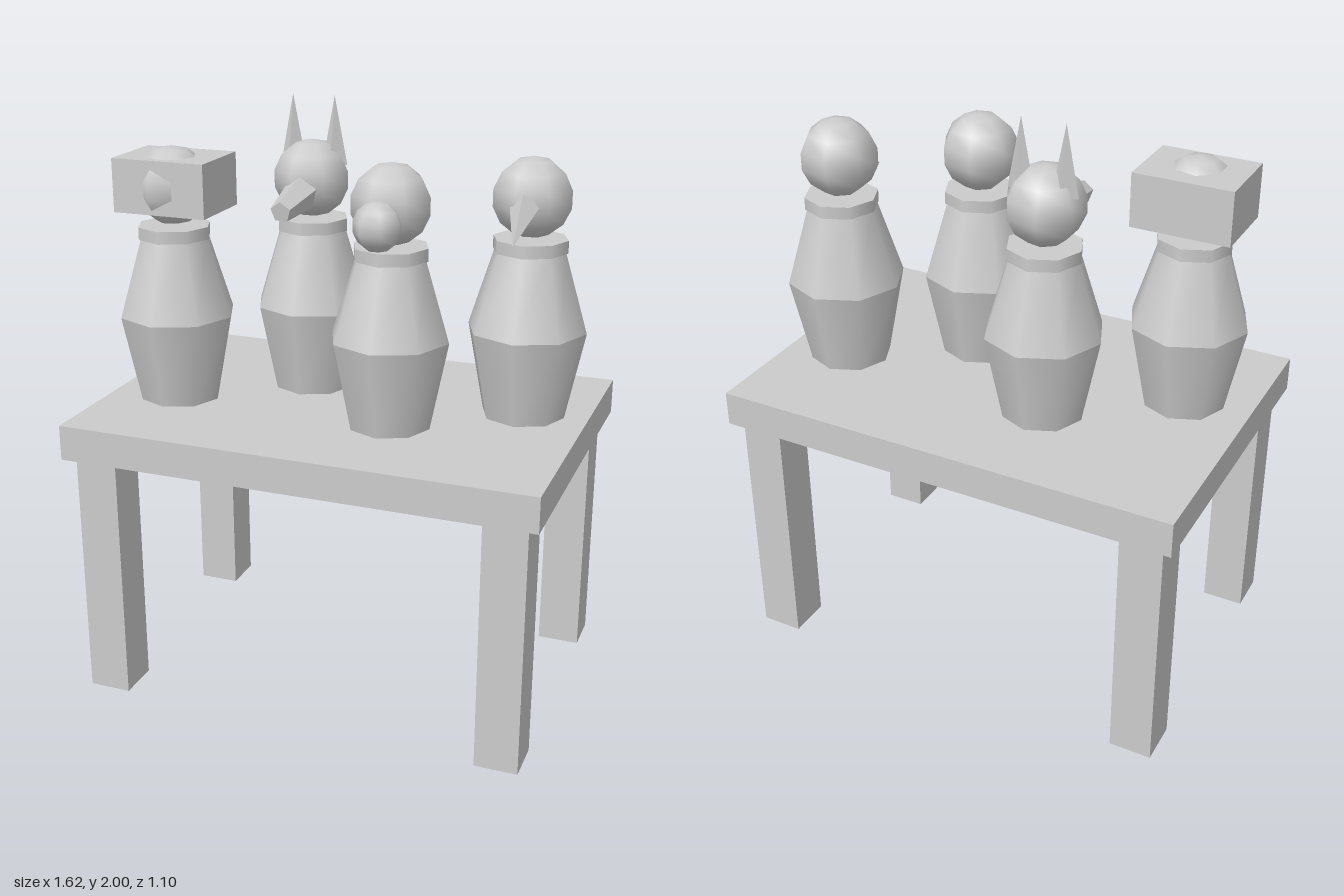
import * as THREE from 'three';

const material = new THREE.MeshStandardMaterial({ color: 0xcccccc });
const facetedMaterial = new THREE.MeshStandardMaterial({ color: 0xcccccc, flatShading: true });

function part(parent, name, geometry, x, y, z, mat = material) {
  const mesh = new THREE.Mesh(geometry, mat);
  mesh.name = name;
  mesh.position.set(x, y, z);
  parent.add(mesh);
  return mesh;
}

// Tapered prism running between two points in the y-z plane, given as [y, z]
function taper(parent, name, from, to, rFrom, rTo, sides) {
  const a = new THREE.Vector3(0, from[0], from[1]);
  const b = new THREE.Vector3(0, to[0], to[1]);
  const dir = b.clone().sub(a);
  const geometry = new THREE.CylinderGeometry(rTo, rFrom, dir.length(), sides);
  geometry.rotateY(Math.PI); // puts a corner on the upper side
  const mid = a.add(b).multiplyScalar(0.5);
  const mesh = part(parent, name, geometry, mid.x, mid.y, mid.z, facetedMaterial);
  mesh.quaternion.setFromUnitVectors(new THREE.Vector3(0, 1, 0), dir.normalize());
  return mesh;
}

// Table with a slab top and four square legs
function createTable() {
  const table = new THREE.Group();
  table.name = 'table';
  part(table, 'tableTop', new THREE.BoxGeometry(1.62, 0.12, 1.1), 0, 0.925, 0);
  for (const sx of [-1, 1]) for (const sz of [-1, 1]) {
    part(table, 'tableLeg', new THREE.BoxGeometry(0.145, 0.865, 0.148), sx * 0.7, 0.4325, sz * 0.443);
  }
  return table;
}

// Eight-sided jar with a collar and a round head; y = 0 is the table surface
function createJar(name, x, z) {
  const jar = new THREE.Group();
  jar.name = name;
  jar.position.set(x, 0.985, z);
  part(jar, 'lowerBody', new THREE.CylinderGeometry(0.2, 0.14, 0.3, 8), 0, 0.15, 0);
  part(jar, 'upperBody', new THREE.CylinderGeometry(0.118, 0.2, 0.265, 8), 0, 0.4325, 0);
  part(jar, 'collar', new THREE.CylinderGeometry(0.125, 0.125, 0.042, 8), 0, 0.584, 0);
  part(jar, 'head', new THREE.SphereGeometry(0.132, 7, 7), 0, 0.738, 0).rotation.y = Math.PI;
  return jar;
}

export function createModel() {
  const model = new THREE.Group();
  model.name = 'jarsOnTable';
  model.add(createTable());

  // Jar with a block headdress
  const blockJar = createJar('blockHeadJar', -0.575, 0.127);
  part(blockJar, 'headdress', new THREE.BoxGeometry(0.33, 0.18, 0.253), 0, 0.745, -0.019);
  model.add(blockJar);

  // Jar with pointed ears and a long snout
  const earedJar = createJar('earedJar', -0.187, -0.152);
  for (const s of [-1, 1]) {
    part(earedJar, 'ear', new THREE.ConeGeometry(0.045, 0.23, 4), s * 0.075, 0.9, -0.018, facetedMaterial);
  }
  taper(earedJar, 'snout', [0.71, 0.06], [0.675, 0.278], 0.066, 0.036, 5);
  model.add(earedJar);

  // Jar with a round muzzle
  const muzzleJar = createJar('roundMuzzleJar', 0.2, 0.145);
  part(muzzleJar, 'muzzle', new THREE.SphereGeometry(0.08, 7, 7), 0, 0.693, 0.128).rotation.y = -Math.PI / 2;
  model.add(muzzleJar);

  // Jar with a downturned beak
  const beakJar = createJar('beakedJar', 0.589, -0.112);
  taper(beakJar, 'beak', [0.733, 0.1], [0.627, 0.24], 0.05, 0, 4);
  model.add(beakJar);

  return model;
}
